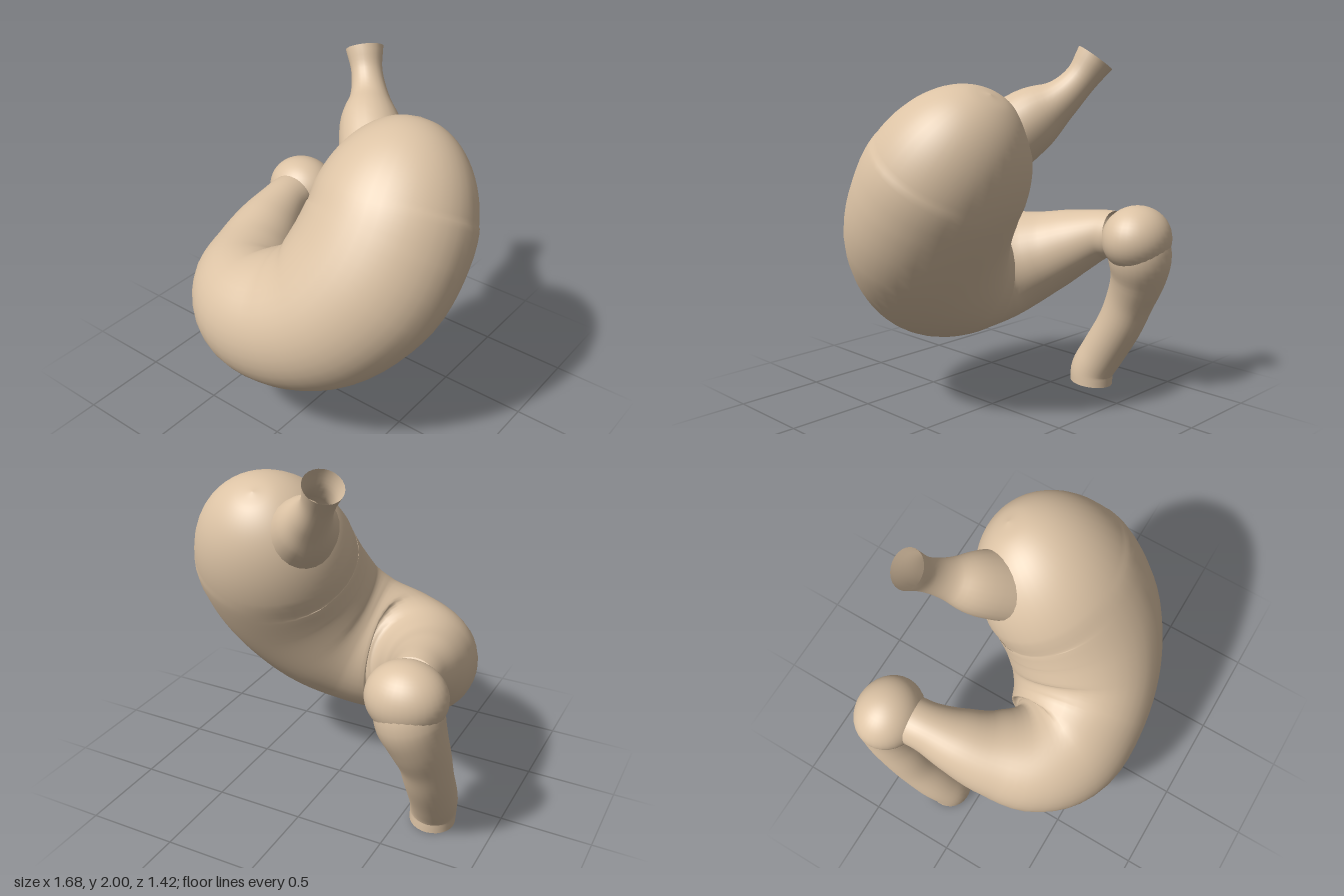
import * as THREE from 'three';

const material = new THREE.MeshStandardMaterial({ color: 0xdcc3a5, side: THREE.DoubleSide });

// Sweeps an ellipse along a smooth path.
// Each station is [x, y, z, radius in the bend plane, radius along the side vector].
function sweep(name, stations, side, perSpan = 5, sides = 40) {
  const path = new THREE.CatmullRomCurve3(
    stations.map(([x, y, z]) => new THREE.Vector3(x, y, z)), false, 'catmullrom', 0.5);
  const radii = new THREE.CatmullRomCurve3(
    stations.map(([, , , a, b = a]) => new THREE.Vector3(a, b, 0)), false, 'catmullrom', 0.5);
  const steps = (stations.length - 1) * perSpan;
  const positions = [], index = [];
  const b = side.clone();
  for (let i = 0; i <= steps; i++) {
    const c = path.getPoint(i / steps);
    const r = radii.getPoint(i / steps);
    const t = path.getTangent(i / steps);
    b.addScaledVector(t, -b.dot(t)).normalize(); // carry the frame along without twist
    const a = b.clone().cross(t);
    for (let j = 0; j < sides; j++) {
      const angle = (j / sides) * Math.PI * 2;
      const p = c.clone()
        .addScaledVector(a, r.x * Math.cos(angle))
        .addScaledVector(b, r.y * Math.sin(angle));
      positions.push(p.x, p.y, p.z);
      if (i === steps) continue;
      const p0 = i * sides + j, p1 = i * sides + (j + 1) % sides;
      index.push(p0, p1, p0 + sides, p1, p1 + sides, p0 + sides);
    }
  }
  const geometry = new THREE.BufferGeometry();
  geometry.setAttribute('position', new THREE.Float32BufferAttribute(positions, 3));
  geometry.setIndex(index);
  geometry.computeVertexNormals();
  const mesh = new THREE.Mesh(geometry, material);
  mesh.name = name;
  return mesh;
}

export function createModel() {
  const group = new THREE.Group();
  group.name = 'stomach';

  // Half-ellipsoid dome stations, from the pole down to the widest ring
  const dome = [];
  for (let degrees = 90; degrees >= 0; degrees -= 15) {
    const s = Math.sin(THREE.MathUtils.degToRad(degrees));
    const c = Math.cos(THREE.MathUtils.degToRad(degrees));
    dome.push([0.378 - 0.048 * s, 1.25 + 0.525 * s, 0.016 - 0.331 * s, 0.463 * c, 0.422 * c]);
  }

  // Main sac: dome, wide body, then a taper that turns backward
  group.add(sweep('stomachBody', [
    ...dome,
    [0.335, 1.05, 0.138, 0.466, 0.422],
    [0.2, 0.85, 0.255, 0.435, 0.41],
    [0, 0.735, 0.33, 0.4, 0.382],
    [-0.23, 0.7, 0.345, 0.365, 0.355],
    [-0.4, 0.728, 0.245, 0.31, 0.32],
    [-0.505, 0.8, 0.06, 0.24, 0.25],
    [-0.56, 0.88, -0.12, 0.185, 0.195],
    [-0.59, 0.94, -0.28, 0.142, 0.145],
    [-0.6, 0.95, -0.38, 0.135, 0.135],
  ], new THREE.Vector3(0, 0.53, 0.848)));

  // Inlet tube, flaring where it joins the dome
  group.add(sweep('inletTube', [
    [0.2, 1.46, -0.14, 0.2],
    [0.02, 1.64, -0.31, 0.165],
    [-0.07, 1.74, -0.42, 0.105],
    [-0.14, 1.84, -0.49, 0.085],
    [-0.195, 1.945, -0.54, 0.103],
  ], new THREE.Vector3(1, 0, 0), 5, 24));

  // Rounded bulb after the narrow outlet
  const bulb = new THREE.Mesh(new THREE.SphereGeometry(1, 32, 24), material);
  bulb.name = 'outletBulb';
  bulb.scale.set(0.212, 0.187, 0.187);
  bulb.position.set(-0.627, 0.943, -0.513);
  group.add(bulb);

  // Outlet tube, running down and forward to an open end
  group.add(sweep('outletTube', [
    [-0.635, 0.95, -0.51, 0.165],
    [-0.65, 0.84, -0.52, 0.178],
    [-0.68, 0.71, -0.49, 0.157],
    [-0.7, 0.56, -0.425, 0.138],
    [-0.7, 0.4, -0.355, 0.132],
    [-0.69, 0.22, -0.25, 0.13],
    [-0.67, 0.1, -0.186, 0.127],
    [-0.665, 0.015, -0.18, 0.125],
  ], new THREE.Vector3(1, 0, 0), 5, 28));

  return group;
}
